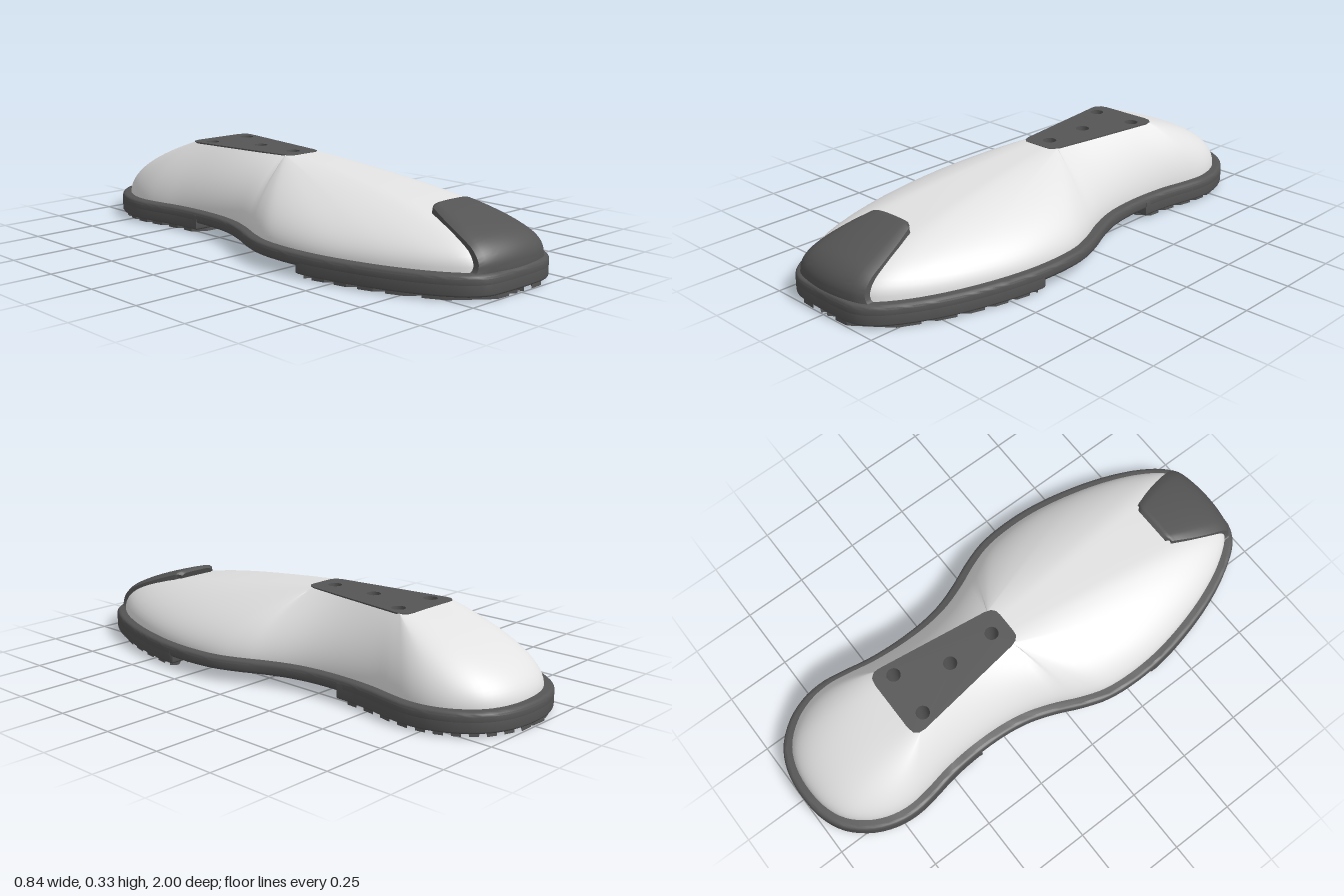
import * as THREE from 'three';
import { toCreasedNormals } from 'three/addons/utils/BufferGeometryUtils.js';

const lerp = THREE.MathUtils.lerp;

// Half outline of the foot as [halfWidth, z], heel to toe
const HALF = [[0.08, -0.993], [0.19, -0.95], [0.266, -0.87], [0.306, -0.78], [0.317, -0.69], [0.306, -0.6],
  [0.287, -0.5], [0.277, -0.38], [0.28, -0.25], [0.296, -0.15], [0.33, -0.05], [0.375, 0.05], [0.408, 0.15],
  [0.42, 0.27], [0.414, 0.41], [0.387, 0.56], [0.34, 0.72], [0.277, 0.86], [0.208, 0.955], [0.15, 0.99], [0.09, 0.998]];
const HOLES = [[0.09, -0.48], [-0.09, -0.48], [0, -0.29], [0, -0.1]];
const CUT = 0.36; // the arch lies between -CUT and CUT

// Half widths of the underside pockets as [halfWidth, z]
const POCKETS = [
  [[0.17, 0.39], [0.2, 0.44], [0.19, 0.58], [0.14, 0.7], [0.06, 0.82]],
  [[0.13, -0.34], [0.15, -0.1], [0.19, 0.27], [0.17, 0.3]],
  [[0.12, -0.56], [0.15, -0.53], [0.15, -0.43], [0.12, -0.4]],
  [[0.03, -0.83], [0.1, -0.8], [0.135, -0.72], [0.1, -0.64], [0.03, -0.61]],
];

function widthAt(table, z) {
  for (let i = 1; i < table.length; i++) {
    const [x0, z0] = table[i - 1], [x1, z1] = table[i];
    if (z >= z0 && z <= z1) return lerp(x0, x1, (z - z0) / (z1 - z0));
  }
  return 0;
}

const mirrored = (half) => [...half, ...half.map(([x, z]) => [-x, z]).reverse()];
const curve = new THREE.CatmullRomCurve3(
  mirrored(HALF).map(([x, z]) => new THREE.Vector3(x, 0, z)), true, 'centripetal');
const RING = curve.getSpacedPoints(168).slice(0, -1);

// Outline moved inwards by d
function inset(d) {
  const n = RING.length;
  return RING.map((p, i) => {
    const t = RING[(i + 1) % n].clone().sub(RING[(i + n - 1) % n]).normalize();
    return [p.x - t.z * d, p.z + t.x * d];
  });
}

const flat = (pts) => pts.map(([x, z]) => new THREE.Vector2(x, -z));
const circle = ([x, z], r) => Array.from({ length: 20 }, (_, i) =>
  [x + r * Math.cos(i * Math.PI / 10), z + r * Math.sin(i * Math.PI / 10)]);

// Horizontal slab from y0 to y1 with holes
function slab(pts, holes, y0, y1, bevel = 0) {
  const shape = new THREE.Shape(flat(pts));
  shape.holes = holes.map((h) => new THREE.Path(flat(h)));
  const geo = new THREE.ExtrudeGeometry(shape, {
    depth: y1 - y0 - 2 * bevel, bevelEnabled: bevel > 0, bevelSize: bevel, bevelThickness: bevel, bevelSegments: 3,
  });
  geo.rotateX(-Math.PI / 2).translate(0, y0 + bevel, 0);
  return toCreasedNormals(geo, 0.6);
}

// Skin over closed rings of [x, y, z] points
function loft(rings, endCap = false) {
  const n = rings[0].length, pos = rings.flat(2), idx = [];
  for (let j = 0; j < rings.length - 1; j++) {
    for (let i = 0; i < n; i++) {
      const a = j * n + i, b = j * n + (i + 1) % n;
      idx.push(a, a + n, b, b, a + n, b + n);
    }
  }
  if (endCap) {
    const last = rings[rings.length - 1], base = (rings.length - 1) * n;
    for (let k = 0; k < 3; k++) pos.push(last.reduce((s, p) => s + p[k], 0) / n);
    for (let i = 0; i < n; i++) idx.push(rings.length * n, base + (i + 1) % n, base + i);
  }
  const geo = new THREE.BufferGeometry();
  geo.setAttribute('position', new THREE.Float32BufferAttribute(pos, 3));
  geo.setIndex(idx);
  geo.computeVertexNormals();
  return geo;
}

// Domed cover rising from the sole edge to the round-cornered ankle plate
function upperGeometry() {
  const base = inset(0.036), rings = [];
  for (let j = 0; j <= 18; j++) {
    const s = (j / 18) ** 2.2;
    rings.push(base.map(([x, z]) => {
      const ax = Math.abs(x);
      let tx, tz, e = 0.55;
      if (z > 0) {
        const k = Math.min(1, ax / 0.33);
        tx = 0.077 * k; tz = -0.032 - 0.03 * k ** 4;
        e = lerp(0.55, 0.38, Math.min(1, z / 0.95) ** 2);
      } else if (z < -0.62) {
        const k = Math.min(1, ax / 0.265);
        tx = 0.142 * k; tz = -0.555 + 0.027 * k ** 6;
        e = lerp(0.55, 0.5, (-0.62 - z) / 0.35);
      } else {
        const k = (z + 0.62) / 0.62;
        tx = lerp(0.142, 0.077, k); tz = lerp(-0.528, -0.062, k);
      }
      return [lerp(x, Math.sign(x) * tx, s), 0.083 + 0.245 * s ** e, lerp(z, tz, s)];
    }));
  }
  return loft(rings);
}

// Toe guard: a thick band bent over the toe
function toeGeometry() {
  const path = new THREE.CatmullRomCurve3([[0.2, 0.07, 0.992], [0.178, 0.095, 0.992], [0.172, 0.125, 0.987],
    [0.17, 0.155, 0.97], [0.165, 0.185, 0.935], [0.155, 0.213, 0.872], [0.13, 0.243, 0.78], [0.106, 0.261, 0.715],
    [0.098, 0.265, 0.695], [0.08, 0.257, 0.675]].map((p) => new THREE.Vector3(...p)));
  const rings = [];
  for (let j = 0; j <= 30; j++) {
    const p = path.getPoint(j / 30), t = path.getTangent(j / 30);
    const l = Math.hypot(t.y, t.z), ny = -t.z / l, nz = t.y / l;
    const bow = lerp(0.9, 0.3, j / 30), outer = [], inner = [];
    for (let i = 0; i <= 16; i++) {
      const u = 1 - i / 8, x = u * p.x;
      const d = bow * x * x + 0.01 * u ** 10, deep = bow * x * x + (j > 27 ? 0.025 : 0.045);
      outer.push([x, p.y - ny * d, p.z - nz * d]);
      inner.unshift([x, p.y - ny * deep, p.z - nz * deep]);
    }
    rings.push([...outer, ...inner]);
  }
  return toCreasedNormals(loft(rings, true), 0.7);
}

// Chevron tread bar on one side, clipped by the outline and the pockets
function treadGeometry(side, start, sign) {
  const ends = [start, start + 0.042].map((z0) => {
    const run = [];
    for (let i = 0; i <= 130; i++) {
      const ax = 0.43 - i * 0.0033, z = z0 + (0.43 - ax) * 0.8;
      const pocket = Math.max(...POCKETS.map((p) => widthAt(p, z)));
      const ok = z * sign > CUT + 0.005 && ax < widthAt(HALF, z) - 0.01 && ax > pocket + (pocket ? 0.012 : 0);
      if (ok) run.push([ax * side, z]);
      else if (run.length) break;
    }
    return run;
  });
  const [a, b] = ends;
  if (a.length < 4 || b.length < 4) return null;
  return slab([a[0], a[a.length - 1], b[b.length - 1], b[0]], [], 0, 0.025);
}

export function createModel() {
  const group = new THREE.Group();
  const shell = new THREE.MeshStandardMaterial({ color: 0xe2e2e2 });
  shell.name = 'light grey shell';
  const rubber = new THREE.MeshStandardMaterial({ color: 0x555555, side: THREE.DoubleSide });
  rubber.name = 'dark grey rubber';
  const add = (name, geo, mat = rubber) => {
    const mesh = new THREE.Mesh(geo, mat);
    mesh.name = name;
    group.add(mesh);
    return mesh;
  };

  // Sole with deep open pockets
  const pockets = POCKETS.map(mirrored);
  add('sole', slab(inset(0.014), pockets, 0.04, 0.087, 0.014));
  add('pocketWalls', slab(inset(0.12), pockets, 0.08, 0.16));
  add('pocketRoof', slab(inset(0.125), HOLES.map((h) => circle(h, 0.026)), 0.16, 0.166));
  for (const sign of [1, -1]) {
    // Pad flush with the side of the sole
    const w = widthAt(HALF, sign * CUT) - 0.008;
    const pts = inset(0.008).filter(([, z]) => z * sign > CUT + 0.01);
    const byZ = (a, b) => (a[1] - b[1]) * sign;
    const right = pts.filter(([x]) => x > 0).sort(byZ), left = pts.filter(([x]) => x <= 0).sort(byZ).reverse();
    const outline = [[w, sign * (CUT + 0.008)], ...right, ...left, [-w, sign * (CUT + 0.008)]];
    const holes = pockets.filter((p) => p.every(([, z]) => z * sign > CUT));
    add(sign > 0 ? 'forefootPad' : 'heelPad', slab(outline, holes, 0.013, 0.078, 0.008));
    for (const side of [1, -1]) {
      for (let z = -1.4; z < 1; z += 0.075) {
        const geo = treadGeometry(side, z, sign);
        if (geo) add('treadBar', geo);
      }
    }
  }

  // Stiffening ribs as [x1, z1, x2, z2], mirrored when off centre
  const ribs = [[0, 0.1, 0.165, 0.1], [0, -0.145, 0, -0.25], [0, -0.06, 0, 0.29],
    [0.03, 0.55, 0.18, 0.41], [0.03, 0.61, 0.1, 0.75], [0, 0.62, 0, 0.81], [0, 0.4, 0, 0.54], [0, -0.55, 0, -0.41]];
  for (const [x1, z1, x2, z2] of ribs) {
    for (const m of x2 ? [1, -1] : [1]) {
      const rib = add('rib', new THREE.BoxGeometry(0.016, 0.115, Math.hypot(x2 - x1, z2 - z1)));
      rib.position.set(m * (x1 + x2) / 2, 0.1025, (z1 + z2) / 2);
      rib.rotation.y = Math.atan2(m * (x2 - x1), z2 - z1);
    }
  }

  // Bolt bosses and shafts
  for (const c of [...HOLES, [0, 0.58]]) add('boss', slab(circle(c, 0.044), [circle(c, 0.027)], 0.05, 0.162));
  for (const [x, z] of HOLES) {
    add('boltShaft', new THREE.CylinderGeometry(0.026, 0.026, 0.165, 20, 1, true)).position.set(x, 0.2455, z);
  }

  // Upper shell, toe guard and ankle plate
  add('upperShell', upperGeometry(), shell);
  add('toeGuard', toeGeometry());
  const plate = mirrored([[0.1, -0.556], [0.127, -0.55], [0.142, -0.532], [0.143, -0.51], [0.083, -0.07],
    [0.075, -0.046], [0.06, -0.033], [0.04, -0.03]]);
  add('anklePlate', slab(plate, HOLES.map((h) => circle(h, 0.026)), 0.324, 0.3292));
  return group;
}
